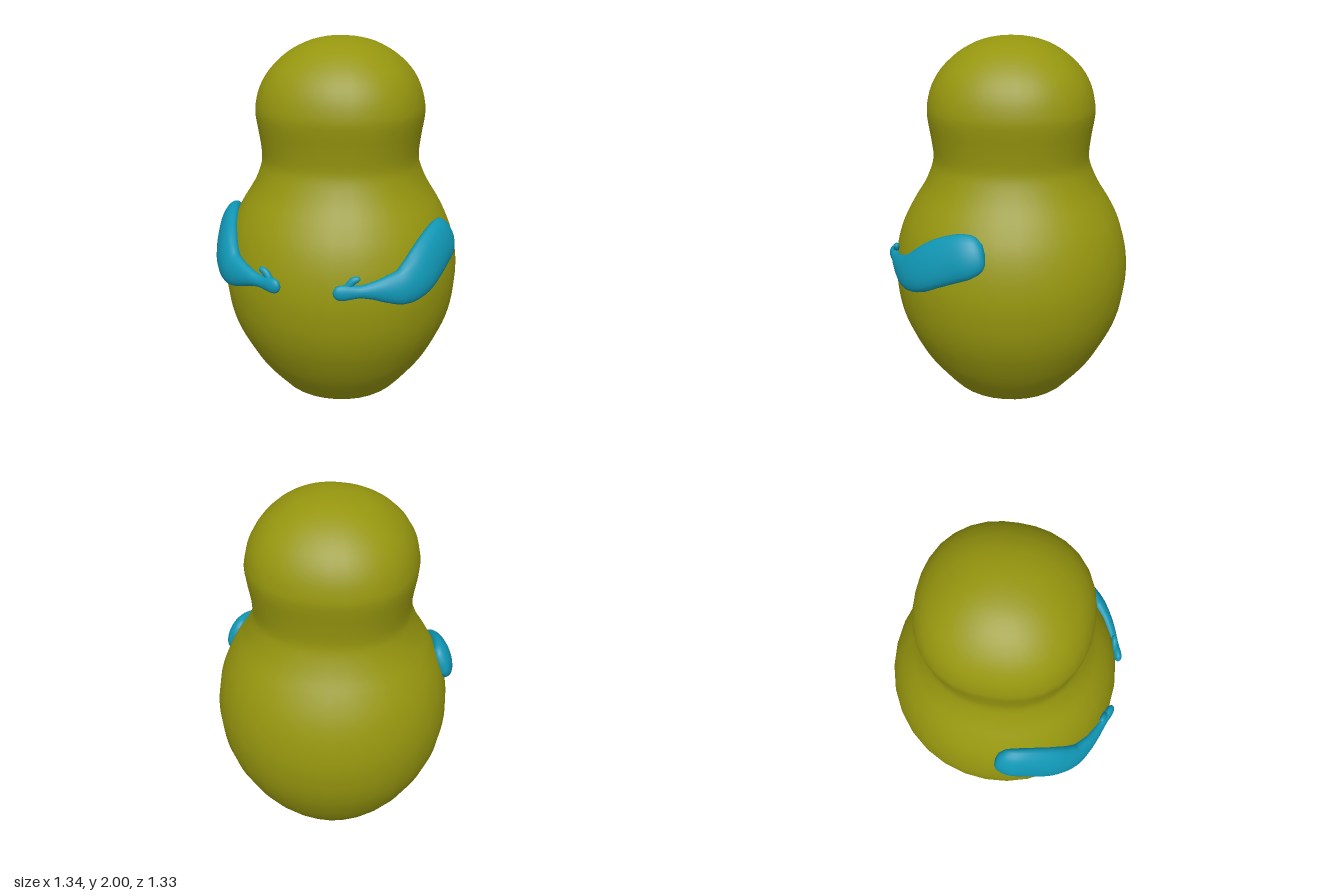
import * as THREE from 'three';
import { mergeVertices } from 'three/addons/utils/BufferGeometryUtils.js';

const bodyMaterial = new THREE.MeshStandardMaterial({ color: 0x96960f });
const armMaterial = new THREE.MeshStandardMaterial({ color: 0x1096b4 });

// Limb sections: x, y, z, half height, half thickness
const ARM = [
  [0.607, 0.985, 0.052, 0.055, 0.025],
  [0.608, 0.98, 0.08, 0.092, 0.043],
  [0.605, 0.97, 0.14, 0.116, 0.052],
  [0.585, 0.945, 0.22, 0.123, 0.055],
  [0.555, 0.9, 0.32, 0.123, 0.055],
  [0.52, 0.85, 0.4, 0.115, 0.055],
  [0.47, 0.815, 0.47, 0.098, 0.05],
  [0.4, 0.81, 0.525, 0.073, 0.04],
  [0.33, 0.81, 0.565, 0.047, 0.032],
  [0.27, 0.808, 0.592, 0.033, 0.027],
  [0.23, 0.808, 0.608, 0.037, 0.026],
  [0.185, 0.807, 0.629, 0.041, 0.025],
  [0.157, 0.807, 0.64, 0.034, 0.02],
  [0.143, 0.807, 0.645, 0.016, 0.01],
];
const THUMB = [
  [0.2, 0.815, 0.61, 0.02, 0.018],
  [0.218, 0.848, 0.605, 0.02, 0.018],
  [0.238, 0.869, 0.6, 0.019, 0.017],
  [0.258, 0.874, 0.594, 0.015, 0.014],
  [0.266, 0.872, 0.591, 0.006, 0.006],
];

// Smooth tube with elliptical sections lying flat against the body
function limb(name, sections, side, steps) {
  const sides = 20;
  const path = new THREE.CatmullRomCurve3(
    sections.map(([x, y, z]) => new THREE.Vector3(x * side, y, z)), false, 'catmullrom');
  const sizes = new THREE.CatmullRomCurve3(
    sections.map(([, , , a, b]) => new THREE.Vector3(a, b, 0)), false, 'catmullrom');
  const positions = [], index = [];
  for (let i = 0; i <= steps; i++) {
    const t = i / steps;
    const c = path.getPoint(t), size = sizes.getPoint(t), T = path.getTangent(t);
    const N = new THREE.Vector3(c.x, 0, c.z).normalize();
    N.y = 0.4 * (1 - t); // lean with the slope of the shoulder
    N.addScaledVector(T, -N.dot(T)).normalize();
    const B = new THREE.Vector3().crossVectors(T, N);
    for (let j = 0; j < sides; j++) {
      const angle = (j / sides) * Math.PI * 2;
      const p = c.clone().addScaledVector(N, size.y * Math.cos(angle))
        .addScaledVector(B, size.x * Math.sin(angle));
      positions.push(p.x, p.y, p.z);
      if (i < steps) {
        const k = (j + 1) % sides, r = i * sides, s = r + sides;
        index.push(r + j, r + k, s + k, r + j, s + k, s + j);
      }
    }
  }
  // rounded end caps
  const first = path.getPoint(0), last = path.getPoint(1), n = positions.length / 3;
  first.addScaledVector(path.getTangent(0), -0.008);
  last.addScaledVector(path.getTangent(1), 0.004);
  positions.push(...first.toArray(), ...last.toArray());
  for (let j = 0; j < sides; j++) {
    const k = (j + 1) % sides, end = steps * sides;
    index.push(n, k, j, n + 1, end + j, end + k);
  }
  const geometry = new THREE.BufferGeometry();
  geometry.setAttribute('position', new THREE.Float32BufferAttribute(positions, 3));
  geometry.setIndex(index);
  geometry.computeVertexNormals();
  const mesh = new THREE.Mesh(geometry, armMaterial);
  mesh.name = name;
  return mesh;
}

// Turned body and head, with a slightly squared head section
function createBody() {
  const outline = new THREE.SplineCurve([
    [0.345, 0.015], [0.42, 0.1], [0.495, 0.2], [0.553, 0.3], [0.6, 0.4], [0.632, 0.5],
    [0.65, 0.6], [0.657, 0.7], [0.651, 0.8], [0.632, 0.9], [0.598, 1], [0.545, 1.1],
    [0.482, 1.2], [0.438, 1.3], [0.427, 1.37], [0.437, 1.47], [0.454, 1.58], [0.452, 1.65],
    [0.428, 1.74], [0.375, 1.83], [0.29, 1.91], [0.19, 1.966], [0.09, 1.993], [0, 2],
  ].map(([r, y]) => new THREE.Vector2(r, y)));
  const points = [[0, 0], [0.2, 0], [0.315, 0], [0.33, 0.003]]
    .map(([r, y]) => new THREE.Vector2(r, y)).concat(outline.getPoints(69));
  points.forEach((p) => { p.x = Math.max(p.x, 0); });
  points[points.length - 1].x = 0;
  let geometry = new THREE.LatheGeometry(points, 32);
  const pos = geometry.attributes.position;
  for (let i = 0; i < pos.count; i++) {
    const x = pos.getX(i), y = pos.getY(i), z = pos.getZ(i), r = Math.hypot(x, z);
    if (r < 1e-6) { pos.setXYZ(i, 0, y, -0.012); continue; }
    const e = 2.04 + 0.2 * THREE.MathUtils.smoothstep(y, 0.9, 1.5);
    const k = Math.pow(Math.pow(Math.abs(x / r), e) + Math.pow(Math.abs(z / r), e), -1 / e);
    pos.setXYZ(i, x * k, y, z * k - 0.012);
  }
  geometry.deleteAttribute('normal');
  geometry.deleteAttribute('uv');
  geometry = mergeVertices(geometry, 1e-5);
  geometry.computeVertexNormals();
  const mesh = new THREE.Mesh(geometry, bodyMaterial);
  mesh.name = 'body';
  return mesh;
}

export function createModel() {
  const model = new THREE.Group();
  model.name = 'roundFigure';
  model.add(createBody());
  for (const [name, side] of [['leftArm', 1], ['rightArm', -1]]) {
    const arm = new THREE.Group();
    arm.name = name;
    arm.add(limb('armAndHand', ARM, side, 52), limb('thumb', THUMB, side, 14));
    model.add(arm);
  }
  return model;
}
